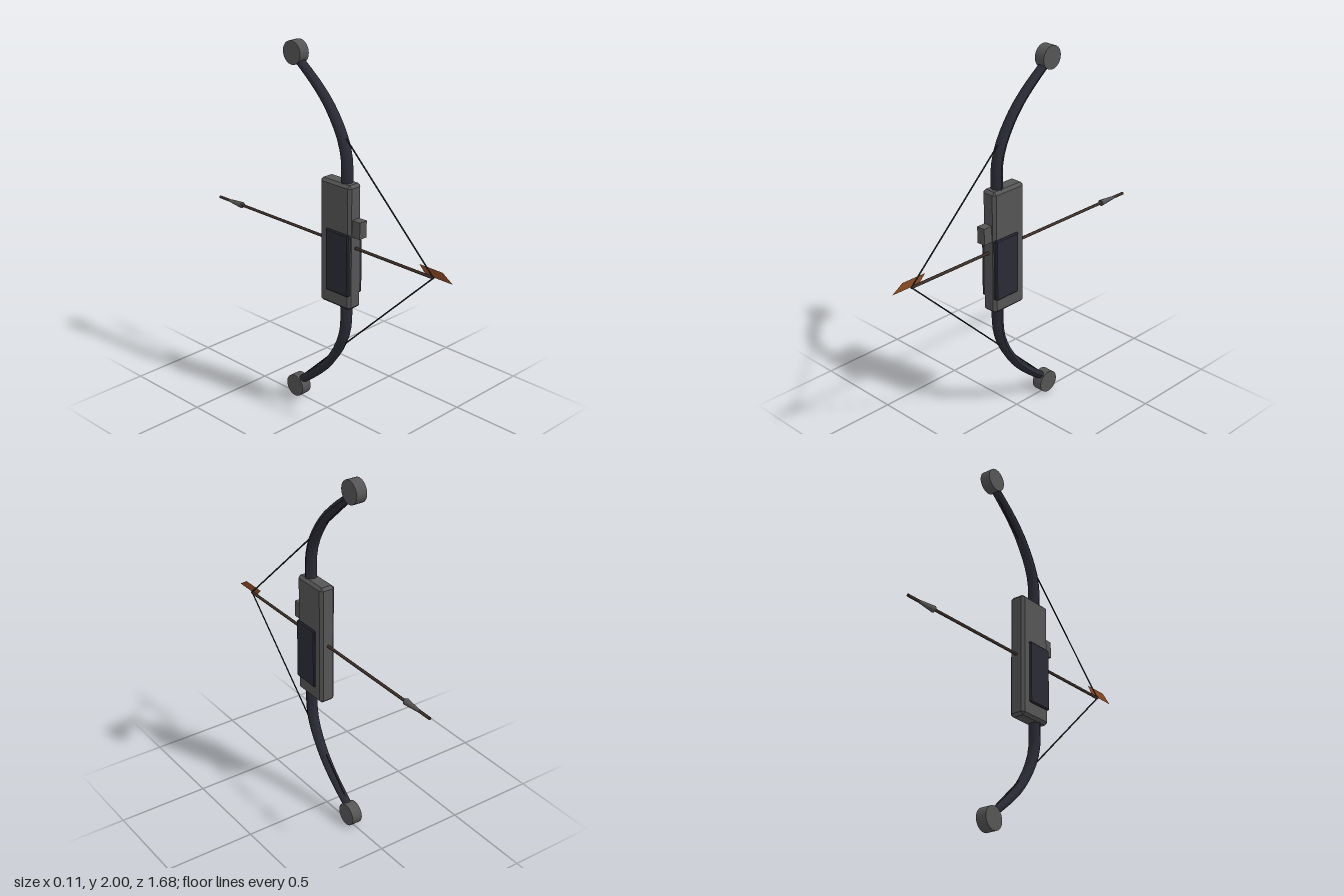
import * as THREE from 'three';
import { ConvexGeometry } from 'three/addons/geometries/ConvexGeometry.js';

const makeMaterial = (name, color, options = {}) => {
  const m = new THREE.MeshStandardMaterial({ color, ...options });
  m.name = name;
  return m;
};

// Box with chamfered edges, given by its size and bevel
function chamferBox(w, h, d, b) {
  const points = [];
  for (const sx of [-1, 1]) for (const sy of [-1, 1]) for (const sz of [-1, 1]) {
    const [x, y, z] = [sx * w / 2, sy * h / 2, sz * d / 2];
    points.push(new THREE.Vector3(x, y - sy * b, z - sz * b));
    points.push(new THREE.Vector3(x - sx * b, y, z - sz * b));
    points.push(new THREE.Vector3(x - sx * b, y - sy * b, z));
  }
  return new ConvexGeometry(points);
}

// Curved limb that tapers towards its tip; side is 1 (upper) or -1 (lower)
function limbGeometry(side) {
  const profile = [[0.3, 0.14], [0.42, 0.141], [0.49, 0.133], [0.57, 0.105],
    [0.65, 0.06], [0.735, -0.004], [0.82, -0.093], [0.885, -0.175], [0.92, -0.22]];
  const curve = new THREE.CatmullRomCurve3(
    profile.map(([y, z]) => new THREE.Vector3(0, 1 + side * y, z)));
  const rings = 14, sides = 8;
  const geo = new THREE.TubeGeometry(curve, rings, 1, sides);
  const pos = geo.attributes.position;
  const p = new THREE.Vector3();
  for (let i = 0; i < pos.count; i++) {
    const t = Math.floor(i / (sides + 1)) / rings;
    const centre = curve.getPointAt(t);
    p.fromBufferAttribute(pos, i).sub(centre);
    const halfThick = THREE.MathUtils.lerp(0.03, 0.022, t);
    const halfWide = THREE.MathUtils.lerp(0.034, 0.024, t);
    pos.setXYZ(i, p.x * halfWide, centre.y + p.y * halfThick, centre.z + p.z * halfThick);
  }
  geo.computeVertexNormals();
  return geo;
}

// Straight rod between two points
function rodGeometry(a, b, radius, sides) {
  return new THREE.TubeGeometry(new THREE.LineCurve3(a, b), 1, radius, sides);
}

export function createModel() {
  const bow = new THREE.Group();
  bow.name = 'bow';

  const metal = makeMaterial('grey metal', 0x555555);
  const dark = makeMaterial('dark blue grey', 0x2a2a35);
  const cord = makeMaterial('string black', 0x222222);
  const wood = makeMaterial('dark wood', 0x3d2f29);
  const feather = makeMaterial('brown feather', 0x8b4a22, { side: THREE.DoubleSide });

  const add = (name, geo, mat, x = 0, y = 0, z = 0) => {
    const mesh = new THREE.Mesh(geo, mat);
    mesh.name = name;
    mesh.position.set(x, y, z);
    bow.add(mesh);
    return mesh;
  };

  // Handle block, grip and sight
  add('riser', chamferBox(0.09, 0.68, 0.214, 0.015), metal, 0, 1, 0.096);
  add('grip', chamferBox(0.11, 0.34, 0.159, 0.006), dark, 0, 0.91, 0.1195);
  add('sight', new THREE.BoxGeometry(0.05, 0.09, 0.07), metal, 0, 1.113, 0.22);

  // Limbs, wheels and the two halves of the drawn string
  const nock = new THREE.Vector3(0, 1, 0.72);
  for (const side of [1, -1]) {
    const label = side > 0 ? 'upper' : 'lower';
    add(label + 'Limb', limbGeometry(side), dark);
    const wheel = new THREE.CylinderGeometry(0.062, 0.062, 0.06, 24).rotateZ(Math.PI / 2);
    add(label + 'Wheel', wheel, metal, 0, 1 + side * 0.938, -0.22);
    const tip = new THREE.Vector3(0, 1 + side * 0.905, -0.22);
    add(label + 'String', rodGeometry(tip, nock, 0.004, 6), cord);
  }

  // Arrow
  const shaft = new THREE.CylinderGeometry(0.008, 0.008, 1.56, 8).rotateX(Math.PI / 2);
  add('arrowShaft', shaft, wood, 0, 1, -0.06);
  const head = new THREE.ConeGeometry(0.018, 0.19, 8).rotateX(-Math.PI / 2);
  add('arrowHead', head, metal, 0, 1, -0.75);

  // Single upright vane in the x = 0 plane; shape x runs along -z
  const vane = new THREE.Shape([[-0.84, 1.003], [-0.67, 1.003], [-0.63, 1.045], [-0.775, 1.045]]
    .map(([x, y]) => new THREE.Vector2(x, y)));
  add('arrowVane', new THREE.ShapeGeometry(vane).rotateY(Math.PI / 2), feather);

  return bow;
}
